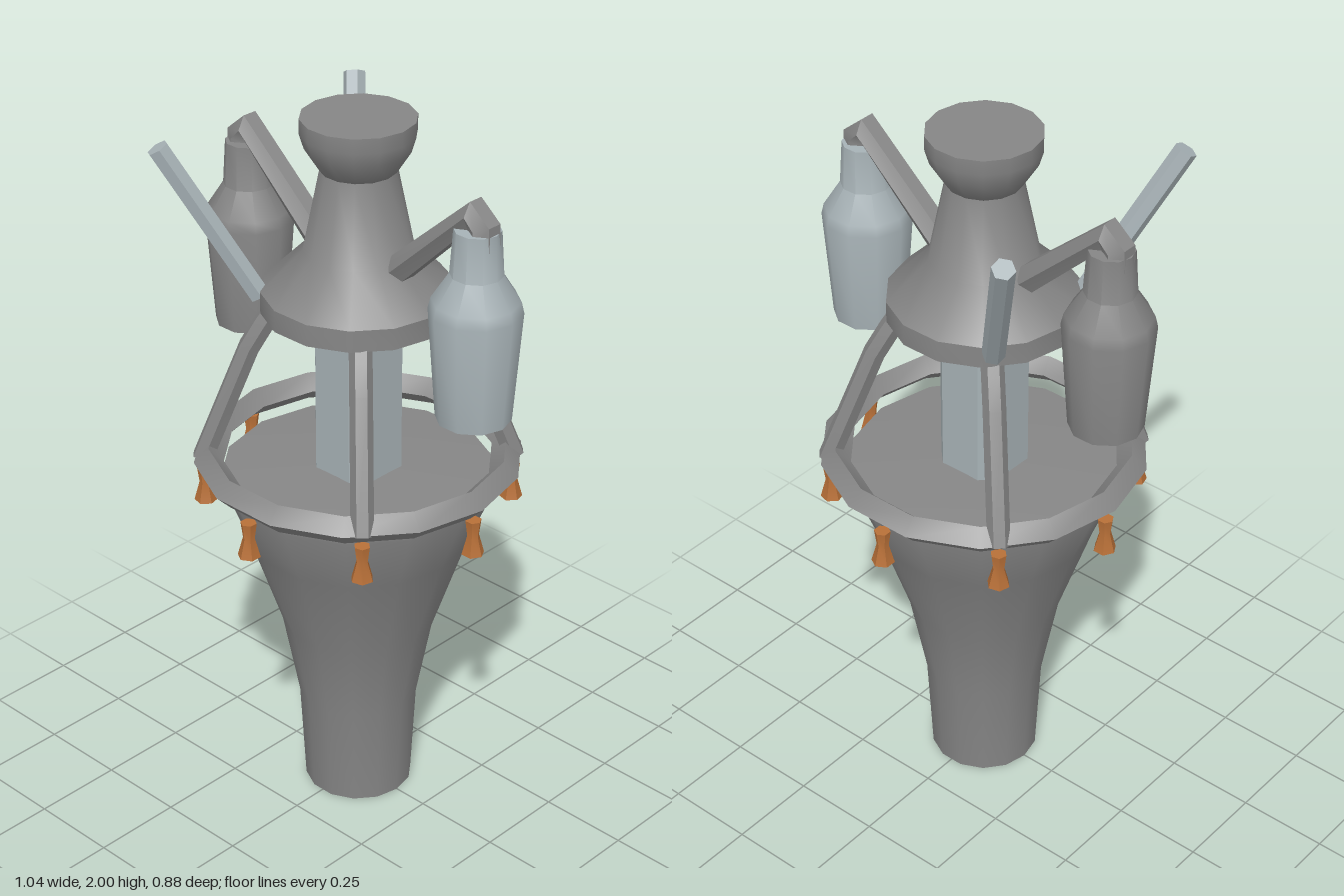
import * as THREE from 'three';
import { toCreasedNormals } from 'three/addons/utils/BufferGeometryUtils.js';

const steel = new THREE.MeshStandardMaterial({ name: 'steelGrey', color: 0x868686, side: THREE.DoubleSide });
const pale = new THREE.MeshStandardMaterial({ name: 'paleMetal', color: 0xa7b2b6 });
const copper = new THREE.MeshStandardMaterial({ name: 'copper', color: 0xb87038 });

const V = (x, y, z = 0) => new THREE.Vector3(x, y, z);

function part(name, geometry, material) {
  const mesh = new THREE.Mesh(toCreasedNormals(geometry, 0.7), material);
  mesh.name = name;
  return mesh;
}

// Turned profile, listed as [radius, height] from bottom to top
function turned(profile, sides, start = Math.PI / 2) {
  return new THREE.LatheGeometry(profile.map(([r, y]) => new THREE.Vector2(r, y)), sides, start);
}

// Path with straight runs and mitred bends
class BentPath extends THREE.Curve {
  constructor(points) {
    super();
    this.points = points;
  }
  getPointAt(u) {
    const n = this.points.length - 1;
    const i = Math.min(Math.floor(u * n + 1e-6), n - 1);
    return this.points[i].clone().lerp(this.points[i + 1], u * n - i);
  }
  getTangentAt(u) {
    const p = this.points, n = p.length - 1, i = Math.round(u * n);
    const before = p[Math.max(i, 1)].clone().sub(p[Math.max(i, 1) - 1]).normalize();
    const j = Math.min(i, n - 1);
    return before.add(p[j + 1].clone().sub(p[j]).normalize()).normalize();
  }
}

function bentRod(points, radius) {
  return new THREE.TubeGeometry(new BentPath(points), points.length - 1, radius, 6, false);
}

function straightRod(a, b, radius) {
  const dir = b.clone().sub(a);
  const geometry = new THREE.CylinderGeometry(radius, radius, dir.length(), 6);
  geometry.applyQuaternion(new THREE.Quaternion().setFromUnitVectors(V(0, 1), dir.normalize()));
  const mid = a.clone().add(b).multiplyScalar(0.5);
  return geometry.translate(mid.x, mid.y, mid.z);
}

export function createModel() {
  const model = new THREE.Group();
  model.name = 'tower';

  // Flared base with a shallow top
  model.add(part('flaredBase', turned([
    [0, 0], [0.15, 0], [0.165, 0.29], [0.21, 0.53], [0.3, 0.8],
    [0.37, 0.975], [0.37, 0.99], [0, 1.02],
  ], 14), steel));

  // Ring with a diamond section
  const ring = new THREE.TorusGeometry(0.4, 0.04, 4, 14).rotateX(Math.PI / 2).translate(0, 1.04, 0);
  model.add(part('ring', ring, steel));

  // Centre column with cut corners
  const a = 0.1, b = 0.06;
  const outline = [[a, -b], [a, b], [b, a], [-b, a], [-a, b], [-a, -b], [-b, -a], [b, -a]];
  const column = new THREE.ExtrudeGeometry(
    new THREE.Shape(outline.map(([x, y]) => new THREE.Vector2(x, y))),
    { depth: 0.52, bevelEnabled: false });
  model.add(part('centreColumn', column.rotateX(-Math.PI / 2).translate(0, 1, 0), pale));

  // Hollow bell-shaped upper housing and its cup
  model.add(part('upperHousing', turned([
    [0.255, 1.47], [0.255, 1.53], [0.145, 1.64], [0.1, 1.86],
  ], 14), steel));
  model.add(part('topCup', turned([
    [0.09, 1.855], [0.1, 1.86], [0.138, 1.92], [0.15, 1.96], [0.15, 2], [0, 2],
  ], 14), steel));

  // Four bent legs joining the ring and the housing
  for (let i = 0; i < 4; i++) {
    const leg = part('leg', bentRod([V(0.2, 1.5), V(0.245, 1.43), V(0.285, 1.36), V(0.415, 1.03)], 0.03), steel);
    leg.rotation.y = Math.PI / 4 + i * Math.PI / 2;
    model.add(leg);
  }

  // Small flared bells below the ring
  for (let i = 0; i < 8; i++) {
    const angle = i * Math.PI / 4;
    const bell = part('bell', turned([
      [0, 0.9], [0.031, 0.9], [0.016, 0.955], [0.022, 1], [0, 1],
    ], 6, 0), copper);
    bell.position.set(0.41 * Math.sin(angle), 0, 0.41 * Math.cos(angle));
    bell.rotation.y = angle;
    model.add(bell);
  }

  // Side arms, each carrying a hanging canister
  for (const side of [1, -1]) {
    const unit = new THREE.Group();
    unit.name = side > 0 ? 'leftArm' : 'rightArm';
    unit.add(part('arm', bentRod([V(0.1, 1.59), V(0.39, 1.86), V(0.42, 1.83), V(0.42, 1.77)], 0.042), steel));
    const canister = part('canister', turned([
      [0, 1.28], [0.098, 1.3], [0.12, 1.6], [0.113, 1.63], [0.068, 1.7], [0.06, 1.82], [0, 1.82],
    ], 10), side > 0 ? pale : steel);
    canister.position.x = 0.4;
    unit.add(canister);
    unit.rotation.y = side > 0 ? 0 : Math.PI;
    model.add(unit);
  }

  // Two slanted rods on the right side
  for (const s of [1, -1]) {
    model.add(part('slantedRod', straightRod(V(-0.18, 1.51, 0.18 * s), V(-0.355, 1.92, 0.355 * s), 0.03), pale));
  }
  return model;
}
